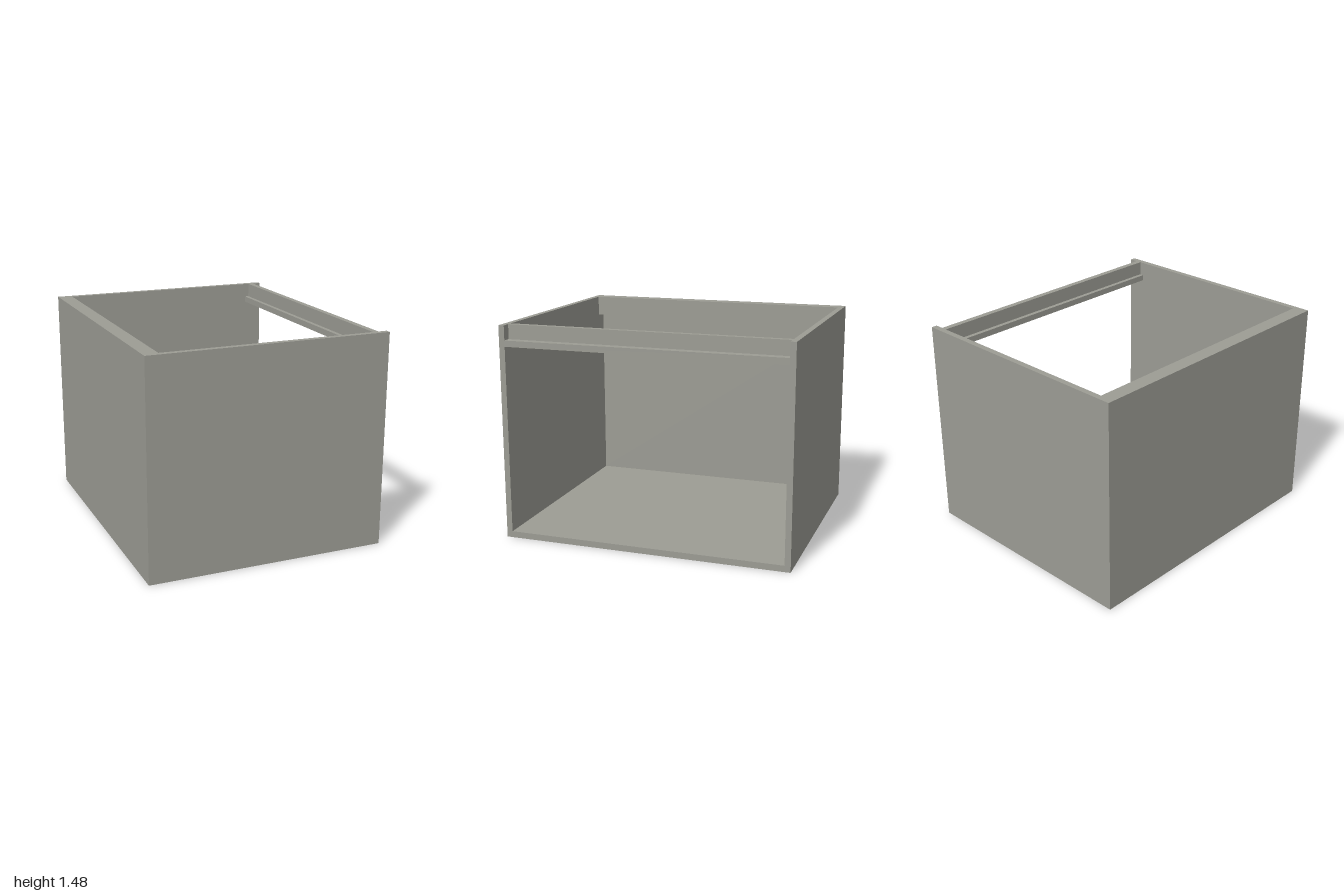
import * as THREE from 'three';

export function createModel() {
  const group = new THREE.Group();
  group.name = 'cabinetCarcass';
  const grey = new THREE.MeshStandardMaterial({ color: 0x9c9c94 });
  grey.name = 'warm grey';

  const W = 0.83, H = 1.475, D = 1, T = 0.04; // half width, height, half depth, board thickness
  const inner = D - T;
  const railTop = 1.375, railBottom = 1.333;

  // Board spanning the given minimum and maximum corners
  function board(name, x0, x1, y0, y1, z0, z1) {
    const mesh = new THREE.Mesh(new THREE.BoxGeometry(x1 - x0, y1 - y0, z1 - z0), grey);
    mesh.position.set((x0 + x1) / 2, (y0 + y1) / 2, (z0 + z1) / 2);
    mesh.name = name;
    group.add(mesh);
  }

  // Full-height end panels
  board('frontPanel', -W, W, 0, H, inner, D);
  board('backPanel', -W, W, 0, H, -D, -inner);

  // Floor between the panels
  board('floor', -W, W, 0, 0.043, -inner, inner);

  // Thin closed side wall and the thick rail along its top
  board('sideWall', -W, -W + 0.012, 0.043, railBottom, -inner, inner);
  board('sideTopRail', -W, -0.73, railBottom, H, -inner, inner);

  // Open side: flat rail with an upright strip on it
  board('openSideFlatRail', 0.7, W, railBottom, railTop, -inner, inner);
  board('openSideUprightRail', 0.73, 0.77, railTop, H, -inner, inner);

  return group;
}
